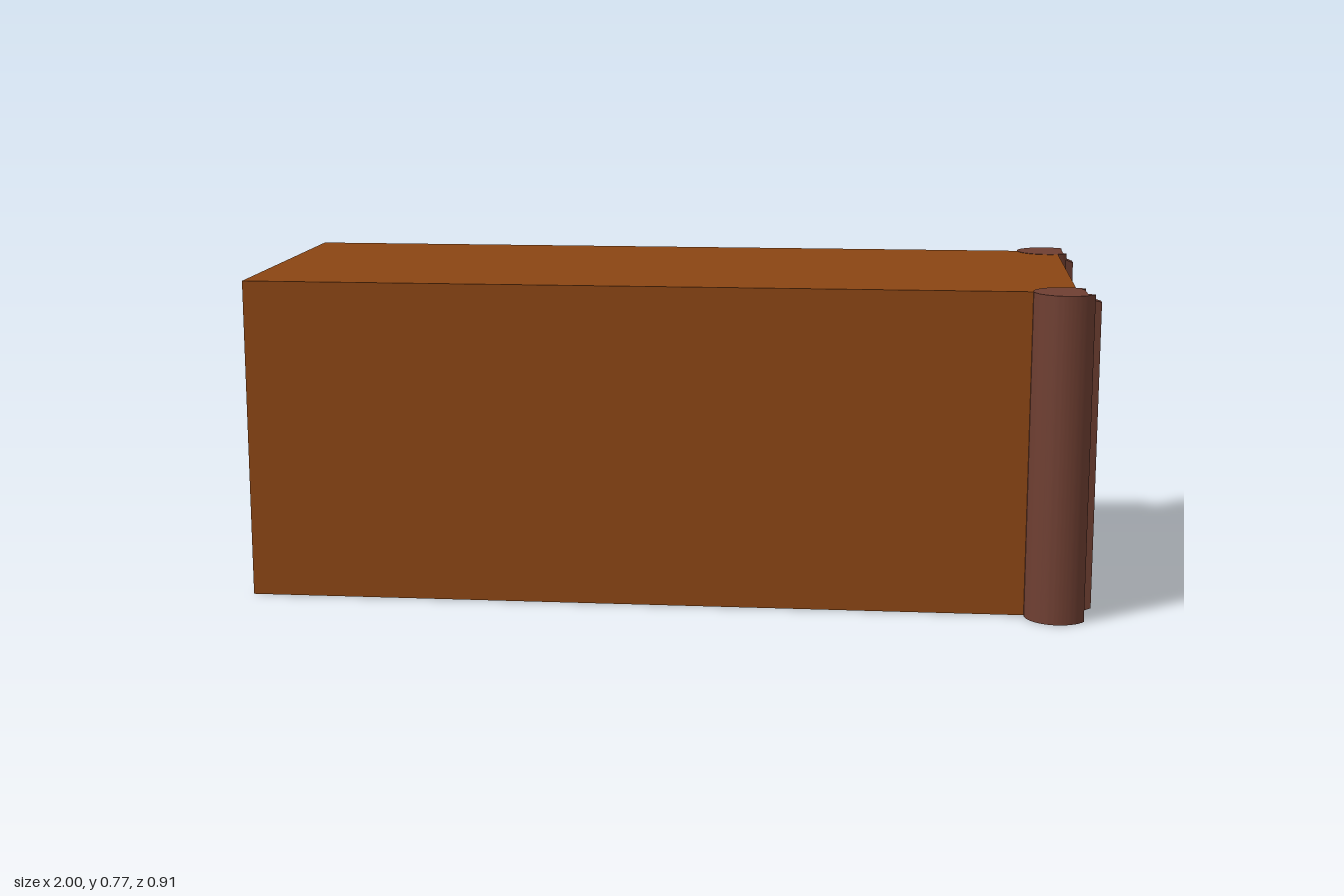
import * as THREE from 'three';
import { toCreasedNormals } from 'three/addons/utils/BufferGeometryUtils.js';

const HEIGHT = 0.766;
const CENTRE_X = 0.92, CENTRE_Z = 0.381, RADIUS = 0.074;

const boardMaterial = new THREE.MeshStandardMaterial({ color: 0x8b4513 });
const postMaterial = new THREE.MeshStandardMaterial({ color: 0x6f3f32 });

function addMesh(parent, name, geometry, material) {
  const mesh = new THREE.Mesh(geometry, material);
  mesh.name = name;
  parent.add(mesh);
  return mesh;
}

// Round post with a recess cut into its right-hand (+x) face.
// arcFrom / arcTo are the z values where the round side meets the recess.
function postGeometry(cz, arcFrom, arcTo, recess) {
  const a0 = Math.asin((arcFrom - cz) / RADIUS);
  const a1 = Math.asin((arcTo - cz) / RADIUS) + Math.PI * 2;
  const shape = new THREE.Shape();
  shape.absarc(CENTRE_X, cz, RADIUS, a0, a1, false);
  recess.forEach(([x, z]) => shape.lineTo(x, z));
  shape.closePath();
  const geometry = new THREE.ExtrudeGeometry(shape, { depth: HEIGHT, bevelEnabled: false, curveSegments: 40 });
  geometry.rotateX(Math.PI / 2).translate(0, HEIGHT, 0);
  return toCreasedNormals(geometry, 0.4);
}

// Raised panel whose outer (+x) face is inset evenly to give sloping edges
function panelGeometry(x0, x1, y0, y1, z0, z1, inset) {
  const geometry = new THREE.BoxGeometry(x1 - x0, y1 - y0, z1 - z0);
  const p = geometry.attributes.position;
  for (let i = 0; i < p.count; i++) {
    if (p.getX(i) > 0) {
      p.setY(i, p.getY(i) - Math.sign(p.getY(i)) * inset);
      p.setZ(i, p.getZ(i) - Math.sign(p.getZ(i)) * inset);
    }
  }
  geometry.computeVertexNormals();
  return geometry.translate((x0 + x1) / 2, (y0 + y1) / 2, (z0 + z1) / 2);
}

export function createModel() {
  const model = new THREE.Group();
  model.name = 'cabinetBlock';

  // Main body
  const body = addMesh(model, 'body', new THREE.BoxGeometry(1.947, 0.764, 0.764), boardMaterial);
  body.position.set(-0.0265, 0.383, 0);

  // Corner posts, each with its own recess and raised panel
  const posts = [
    {
      name: 'frontPost', cz: CENTRE_Z, from: 0.42, to: 0.325,
      recess: [[0.958, 0.338], [0.965, 0.345], [0.966, 0.411]],
      panel: [0.96, 1.0, 0.013, 0.755, 0.352, 0.399, 0.011],
    },
    {
      name: 'backPost', cz: -CENTRE_Z, from: -0.326, to: -0.44,
      recess: [[0.962, -0.435], [0.962, -0.335]],
      panel: [0.955, 0.99, 0.018, 0.751, -0.417, -0.355, 0.013],
    },
  ];
  for (const { name, cz, from, to, recess, panel } of posts) {
    const post = new THREE.Group();
    post.name = name;
    addMesh(post, 'column', postGeometry(cz, from, to, recess), postMaterial);
    addMesh(post, 'raisedPanel', panelGeometry(...panel), postMaterial);
    model.add(post);
  }
  return model;
}
